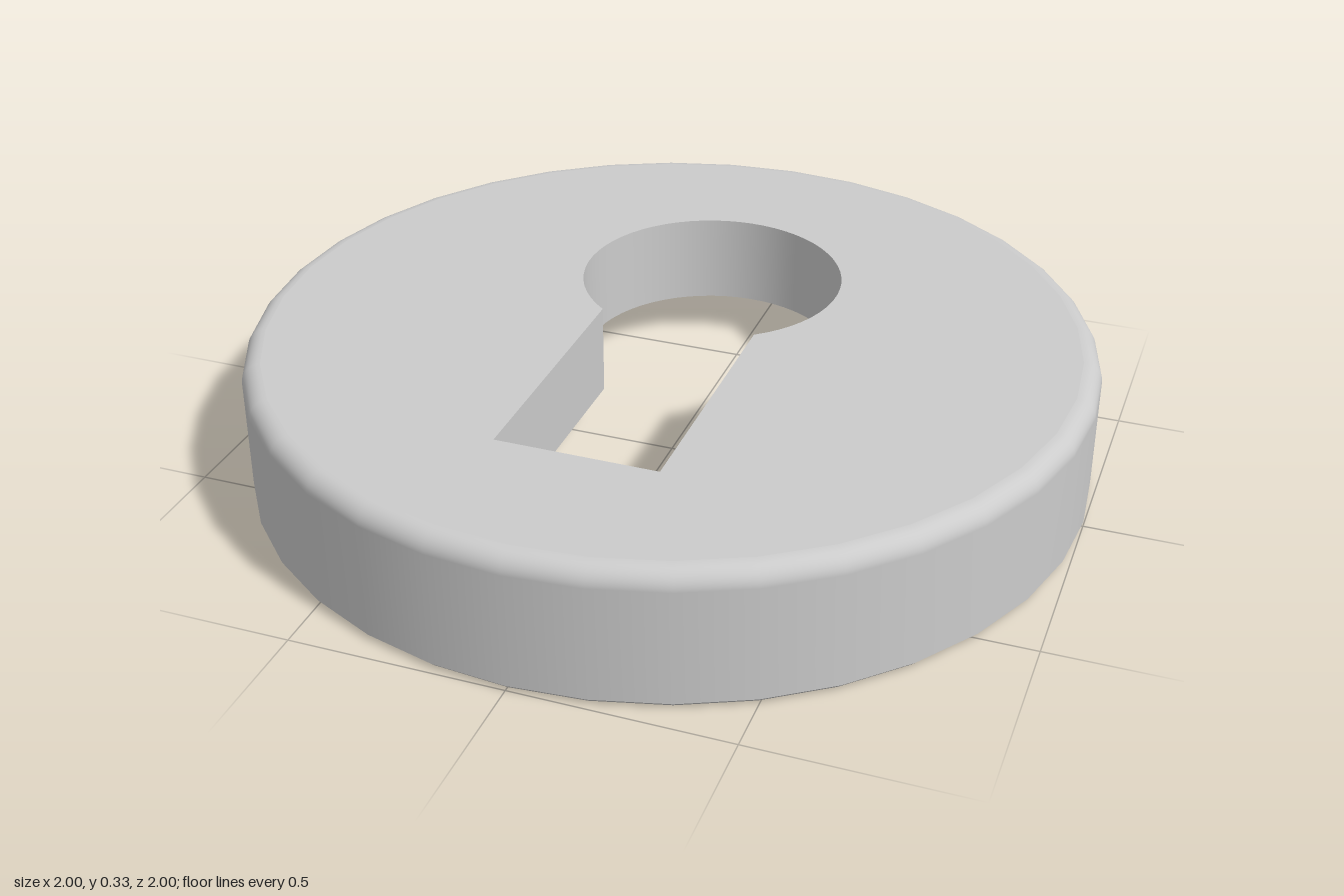
import * as THREE from 'three';

const SIDES = 36, ARC_STEPS = 48;
const TOP = 0.33, FLOOR = 0.11, RECESS = 0.88, FILLET = 0.045, CHAMFER = 0.012;
const HOLE_R = 0.318, HOLE_Z = -0.293, SLOT_W = 0.19, SLOT_END = 0.6;
const GAP = Math.asin(SLOT_W / HOLE_R); // half angle where the slot meets the round hole
const SLOT_START = HOLE_Z + HOLE_R * Math.cos(GAP);

export function createModel() {
  const group = new THREE.Group();
  const material = new THREE.MeshStandardMaterial({ color: 0xcccccc });
  const add = (name, geometry) => {
    const mesh = new THREE.Mesh(geometry, material);
    mesh.name = name;
    group.add(mesh);
    return mesh;
  };
  const lathe = (name, points) =>
    add(name, new THREE.LatheGeometry(points.map(([r, y]) => new THREE.Vector2(r, y)), SIDES));

  // Outer wall rolling over into the top face
  const wall = [[1, CHAMFER], [1, TOP - FILLET]];
  for (let i = 1; i <= 8; i++) {
    const a = (i / 8) * Math.PI / 2;
    wall.push([1 - FILLET + FILLET * Math.cos(a), TOP - FILLET + FILLET * Math.sin(a)]);
  }
  lathe('outerWall', wall);
  lathe('bottomChamfer', [[1 - CHAMFER, 0], [1, CHAMFER]]);
  lathe('bottomRim', [[RECESS, 0], [1 - CHAMFER, 0]]);
  lathe('recessWall', [[RECESS, FLOOR], [RECESS, 0]]);

  // Flat faces pierced by the keyhole; dir is +1 facing up, -1 facing down
  const face = (name, radius, y, dir) => {
    const outline = [], hole = [];
    for (let i = 0; i < SIDES; i++) {
      const a = (i / SIDES) * Math.PI * 2;
      outline.push(new THREE.Vector2(radius * Math.cos(a), radius * Math.sin(a)));
    }
    const point = (x, z) => hole.push(new THREE.Vector2(x, -dir * z));
    for (let i = 0; i <= ARC_STEPS; i++) {
      const a = GAP + (i / ARC_STEPS) * (Math.PI - GAP) * 2;
      point(HOLE_R * Math.sin(a), HOLE_Z + HOLE_R * Math.cos(a));
    }
    point(-SLOT_W, SLOT_END);
    point(SLOT_W, SLOT_END);
    const shape = new THREE.Shape(outline);
    shape.holes.push(new THREE.Path(hole));
    add(name, new THREE.ShapeGeometry(shape).rotateX(-dir * Math.PI / 2)).position.y = y;
  };
  face('topFace', 1 - FILLET, TOP, 1);
  face('recessFloor', RECESS, FLOOR, -1);

  // Round part of the keyhole, facing inward
  const bore = [new THREE.Vector2(HOLE_R, TOP), new THREE.Vector2(HOLE_R, FLOOR)];
  add('keyholeBore', new THREE.LatheGeometry(bore, ARC_STEPS, GAP, (Math.PI - GAP) * 2))
    .position.z = HOLE_Z;

  // Straight slot walls
  const depth = TOP - FLOOR, midY = (TOP + FLOOR) / 2;
  for (const side of [1, -1]) {
    const slotWall = add(side > 0 ? 'slotWallLeft' : 'slotWallRight',
      new THREE.PlaneGeometry(SLOT_END - SLOT_START, depth));
    slotWall.rotation.y = -side * Math.PI / 2;
    slotWall.position.set(side * SLOT_W, midY, (SLOT_START + SLOT_END) / 2);
  }
  const slotEnd = add('slotEnd', new THREE.PlaneGeometry(SLOT_W * 2, depth));
  slotEnd.rotation.y = Math.PI;
  slotEnd.position.set(0, midY, SLOT_END);

  return group;
}
